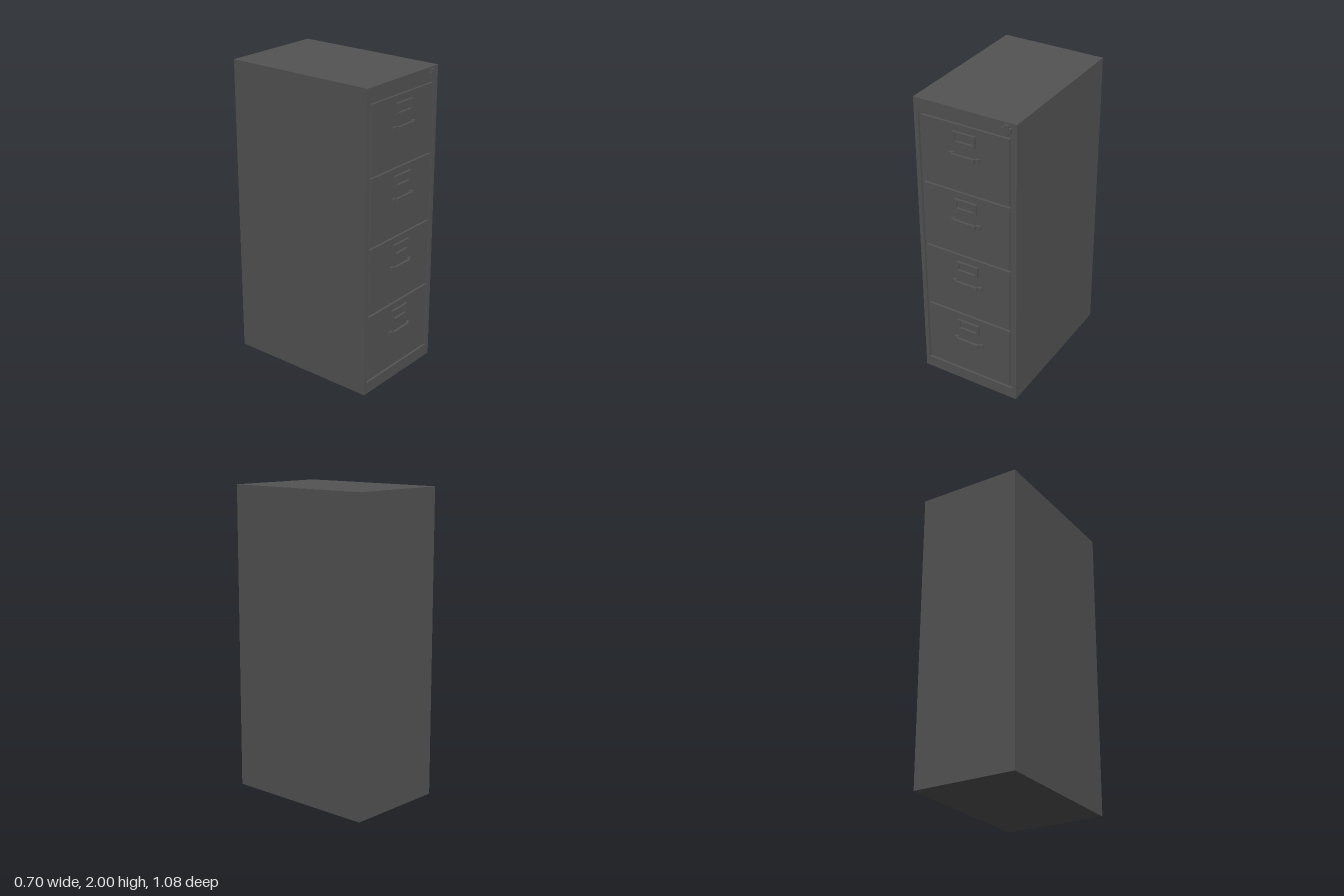
import * as THREE from 'three';

const steel = new THREE.MeshStandardMaterial({ color: 0x535353 });
steel.name = 'dark grey steel';

const FRONT = 0.506, BACK = -0.538, RECESS = 0.016;

function add(parent, name, geometry, x = 0, y = 0, z = 0) {
  const mesh = new THREE.Mesh(geometry, steel);
  mesh.name = name;
  mesh.position.set(x, y, z);
  parent.add(mesh);
  return mesh;
}

// Rectangle corners from centre and size
function rect(w, h, cy = 0) {
  return [[-w / 2, cy - h / 2], [w / 2, cy - h / 2], [w / 2, cy + h / 2], [-w / 2, cy + h / 2]]
    .map(([x, y]) => new THREE.Vector2(x, y));
}

// Rectangular frame extruded towards the front
function frame(outer, inner, depth) {
  const shape = new THREE.Shape(outer);
  shape.holes.push(new THREE.Path(inner));
  return new THREE.ExtrudeGeometry(shape, { depth, bevelEnabled: false });
}

function createDrawer(index) {
  const drawer = new THREE.Group();
  drawer.name = `drawer${index + 1}`;
  add(drawer, 'drawerFront', new THREE.BoxGeometry(0.604, 0.439, RECESS), 0, 0, -RECESS / 2);

  // Label holder with an open window
  add(drawer, 'labelHolder', frame(rect(0.156, 0.076), rect(0.124, 0.046), 0.0155), 0, 0.138, 0);

  // Handle: two feet carrying a bar in front of them
  for (const side of [-1, 1]) {
    add(drawer, 'handleFoot', new THREE.BoxGeometry(0.028, 0.027, 0.016), side * 0.091, 0.022, 0.008);
  }
  add(drawer, 'handleBar', new THREE.BoxGeometry(0.156, 0.027, 0.016), 0, 0.022, 0.0235);
  return drawer;
}

export function createModel() {
  const cabinet = new THREE.Group();
  cabinet.name = 'filingCabinet';

  // Main body with a shallow recess framed on the front
  const depth = FRONT - RECESS - BACK;
  add(cabinet, 'body', new THREE.BoxGeometry(0.698, 2, depth), 0, 1, BACK + depth / 2);
  add(cabinet, 'frontFrame', frame(rect(0.698, 2, 1), rect(0.642, 1.833, 0.9935), RECESS), 0, 0, FRONT - RECESS);

  // Four stacked drawers
  for (let i = 0; i < 4; i++) {
    const drawer = createDrawer(i);
    drawer.position.set(0, 1.678 - i * 0.4545, FRONT);
    cabinet.add(drawer);
  }

  // Cross-shaped lock in the upper corner
  const a = 0.031, b = 0.015;
  const cross = new THREE.Shape([
    [-b, -a], [b, -a], [b, -b], [a, -b], [a, b], [b, b],
    [b, a], [-b, a], [-b, b], [-a, b], [-a, -b], [-b, -b],
  ].map(([x, y]) => new THREE.Vector2(x, y)));
  add(cabinet, 'lock', new THREE.ExtrudeGeometry(cross, { depth: 0.0155, bevelEnabled: false }), 0.286, 1.956, FRONT);

  return cabinet;
}
